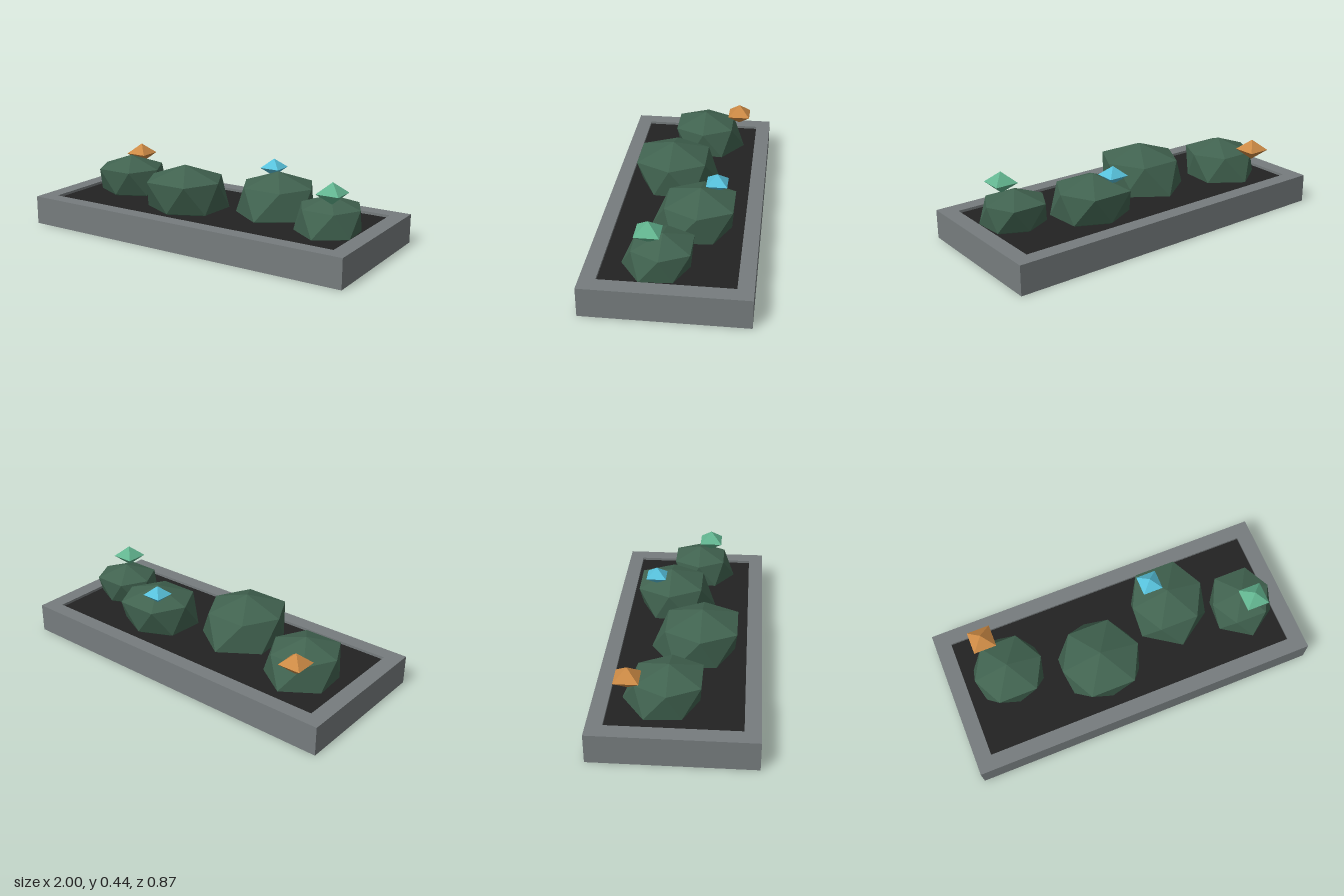
import * as THREE from 'three';
import { ConvexGeometry } from 'three/addons/geometries/ConvexGeometry.js';

const paint = (name, color) => {
  const m = new THREE.MeshStandardMaterial({ color });
  m.name = name;
  return m;
};

export function createModel() {
  const stone = paint('stone', 0x767c7e);
  const earth = paint('earth', 0x222222);
  const leaf = paint('leaf', 0x416350);
  const amber = paint('amber', 0xcc8a45);
  const cyan = paint('cyan', 0x57c1db);
  const mint = paint('mint', 0x62b48f);

  const model = new THREE.Group();
  model.name = 'planter';
  const add = (name, geometry, material, x = 0, y = 0, z = 0) => {
    const mesh = new THREE.Mesh(geometry, material);
    mesh.name = name;
    mesh.position.set(x, y, z);
    model.add(mesh);
    return mesh;
  };

  // Rectangular planter frame, open at top and bottom
  const rect = (path, w, d) => path.moveTo(-w, -d).lineTo(w, -d).lineTo(w, d).lineTo(-w, d).closePath();
  const outline = rect(new THREE.Shape(), 1, 0.435);
  outline.holes.push(rect(new THREE.Path(), 0.91, 0.35));
  const frame = new THREE.ExtrudeGeometry(outline, { depth: 0.165, bevelEnabled: false });
  frame.rotateX(-Math.PI / 2);
  add('frame', frame, stone);

  // Soil slab
  add('soil', new THREE.BoxGeometry(1.82, 0.03, 0.7), earth, 0, 0.135, 0);

  // Faceted bush: apex, upper ring, lopsided lower ring and small base (units of its radius)
  const upper = [[0.56, -0.87], [1, 0], [0.53, 0.87]];
  const lower = [[0, 1.25], [0.95, 0.6], [0.88, -0.4], [0, -0.82]];
  const base = [[0.5, 0], [0.27, 0.46], [0.27, -0.46]];
  const bush = (x, z, r, facing) => {
    const points = [new THREE.Vector3(0, 1.06 * r, 0)];
    const ring = (list, y) => list.forEach(([px, pz]) => {
      for (const side of px ? [-1, 1] : [1]) {
        points.push(new THREE.Vector3(side * px * r, y, facing * pz * r));
      }
    });
    ring(upper, 0.7 * r);
    ring(lower, -0.01);
    ring(base, -0.05);
    add('bush', new ConvexGeometry(points), leaf, x, 0.165, z);
  };
  bush(-0.655, -0.04, 0.195, -1);
  bush(-0.155, 0.1, 0.225, -1);
  bush(0.335, -0.11, 0.21, 1);
  bush(0.735, 0.038, 0.172, 1);

  // Squashed octahedral gems with sides parallel to the frame
  const gem = (name, material, x, y, z, half, height) => {
    const geometry = new THREE.OctahedronGeometry(1);
    geometry.rotateY(Math.PI / 4);
    geometry.scale(half * Math.SQRT2, height, half * Math.SQRT2);
    add(name, geometry, material, x, y, z);
  };
  gem('amberGem', amber, -0.735, 0.335, -0.245, 0.065, 0.06);
  gem('cyanGem', cyan, 0.26, 0.384, -0.192, 0.057, 0.051);
  gem('mintGem', mint, 0.775, 0.375, 0.105, 0.065, 0.06);

  return model;
}
